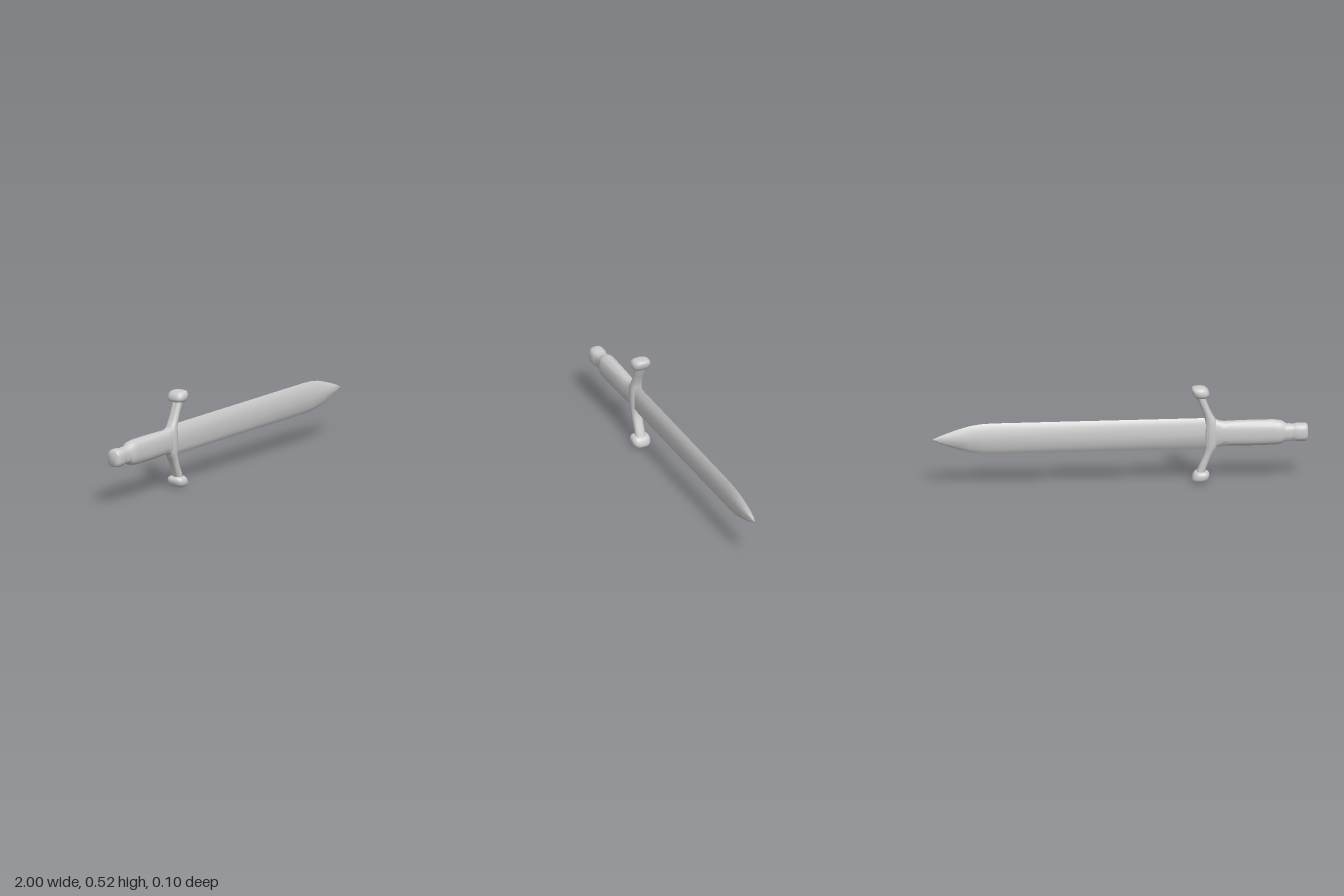
import * as THREE from 'three';
import { toCreasedNormals } from 'three/addons/utils/BufferGeometryUtils.js';

const MID = 0.263; // height of the sword's long axis
const material = new THREE.MeshStandardMaterial({ color: 0xcccccc });

// Unit cross-section: rounded rectangle (superellipse)
function roundProfile(count, power) {
  return Array.from({ length: count }, (_, i) => {
    const a = (i / count) * Math.PI * 2;
    const f = (v) => Math.sign(v) * Math.pow(Math.abs(v), 2 / power);
    return [f(Math.cos(a)), f(Math.sin(a))];
  });
}

// Skin rings [t, centreU, halfU, centreZ, halfZ] along x (u = y) or along y (u = x)
function loft(name, axis, rings, profile) {
  const n = profile.length, pos = [], index = [];
  for (const [t, cu, hu, cz, hz] of rings) {
    for (const [u, v] of profile) {
      const a = cu + u * hu;
      pos.push(axis === 'x' ? t : a, MID + (axis === 'x' ? a : t), cz + v * hz);
    }
  }
  const forward = (axis === 'x') === (rings[rings.length - 1][0] > rings[0][0]);
  for (let i = 0; i < rings.length - 1; i++) {
    for (let j = 0; j < n; j++) {
      const k = (j + 1) % n;
      const a = i * n + j, b = a + n, c = i * n + k, d = c + n;
      if (forward) index.push(a, c, b, c, d, b);
      else index.push(a, b, c, c, b, d);
    }
  }
  const geo = new THREE.BufferGeometry();
  geo.setAttribute('position', new THREE.Float32BufferAttribute(pos, 3));
  geo.setIndex(index);
  const mesh = new THREE.Mesh(toCreasedNormals(geo, Math.PI * 0.3), material);
  mesh.name = name;
  return mesh;
}

export function createModel() {
  const sword = new THREE.Group();
  sword.name = 'sword';

  // Blade: flattened hexagon with sharp edges, tapering to a point
  const bladeProfile = [[1, 0], [0.65, 1], [0, 1.04], [-0.65, 1], [-1, 0], [-0.65, -1], [0, -1.04], [0.65, -1]];
  const blade = [
    [-0.48, 0.085, 0.0185], [0.68, 0.084, 0.0185], [0.74, 0.081, 0.0185], [0.80, 0.072, 0.018],
    [0.86, 0.055, 0.017], [0.92, 0.035, 0.014], [0.97, 0.015, 0.008], [1, 0, 0],
  ].map(([x, h, d]) => [x, 0.002, h, 0.003, d]);
  sword.add(loft('blade', 'x', blade, bladeProfile));

  // Grip with a raised collar at the pommel end
  const grip = [
    [-0.91, 0.040, 0.033], [-0.885, 0.045, 0.035], [-0.872, 0.055, 0.037], [-0.858, 0.062, 0.042],
    [-0.84, 0.065, 0.044], [-0.82, 0.068, 0.042], [-0.70, 0.069, 0.040], [-0.58, 0.067, 0.036],
    [-0.555, 0.066, 0.034], [-0.535, 0.069, 0.033], [-0.51, 0.078, 0.032], [-0.48, 0.088, 0.030],
  ].map(([x, h, d]) => [x, 0.002, h, 0, d]);
  sword.add(loft('grip', 'x', grip, roundProfile(28, 2.5)));

  // Pommel
  const pommel = [
    [-1, 0, 0], [-1, 0.038, 0.032], [-0.994, 0.045, 0.038], [-0.98, 0.048, 0.042],
    [-0.945, 0.048, 0.042], [-0.928, 0.045, 0.038], [-0.918, 0.043, 0.035],
    [-0.905, 0.046, 0.037], [-0.88, 0.045, 0.035], [-0.87, 0, 0],
  ].map(([x, h, d]) => [x, 0, h, -0.002, d]);
  sword.add(loft('pommel', 'x', pommel, roundProfile(28, 2.8)));

  // Crossguard: both arms sweep toward the blade; rows are [distance, xMin, xMax, halfZ]
  const toRing = (s) => ([y, x0, x1, d]) => [s * y, (x0 + x1) / 2, (x1 - x0) / 2, 0.001, d];
  const arm = [
    [0, -0.53, -0.452, 0.034], [0.05, -0.525, -0.453, 0.033], [0.075, -0.515, -0.454, 0.031],
    [0.095, -0.502, -0.451, 0.029], [0.12, -0.488, -0.444, 0.028], [0.15, -0.475, -0.432, 0.027],
    [0.18, -0.463, -0.418, 0.028], [0.22, -0.449, -0.404, 0.028],
  ];
  const guard = [...arm.slice(1).reverse().map(toRing(-1)), ...arm.map(toRing(1))];
  sword.add(loft('crossguard', 'y', guard, roundProfile(24, 2.3)));

  // Knobs at the ends of the guard
  const knob = [
    [0.205, -0.435, -0.42, 0], [0.205, -0.462, -0.403, 0.038], [0.212, -0.474, -0.395, 0.047],
    [0.224, -0.477, -0.388, 0.051], [0.240, -0.473, -0.383, 0.051], [0.252, -0.465, -0.383, 0.046],
    [0.259, -0.455, -0.387, 0.038], [0.262, -0.44, -0.397, 0.026], [0.262, -0.42, -0.42, 0],
  ];
  for (const [name, s] of [['upperGuardKnob', 1], ['lowerGuardKnob', -1]]) {
    sword.add(loft(name, 'y', knob.map(toRing(s)), roundProfile(28, 2.8)));
  }
  return sword;
}
